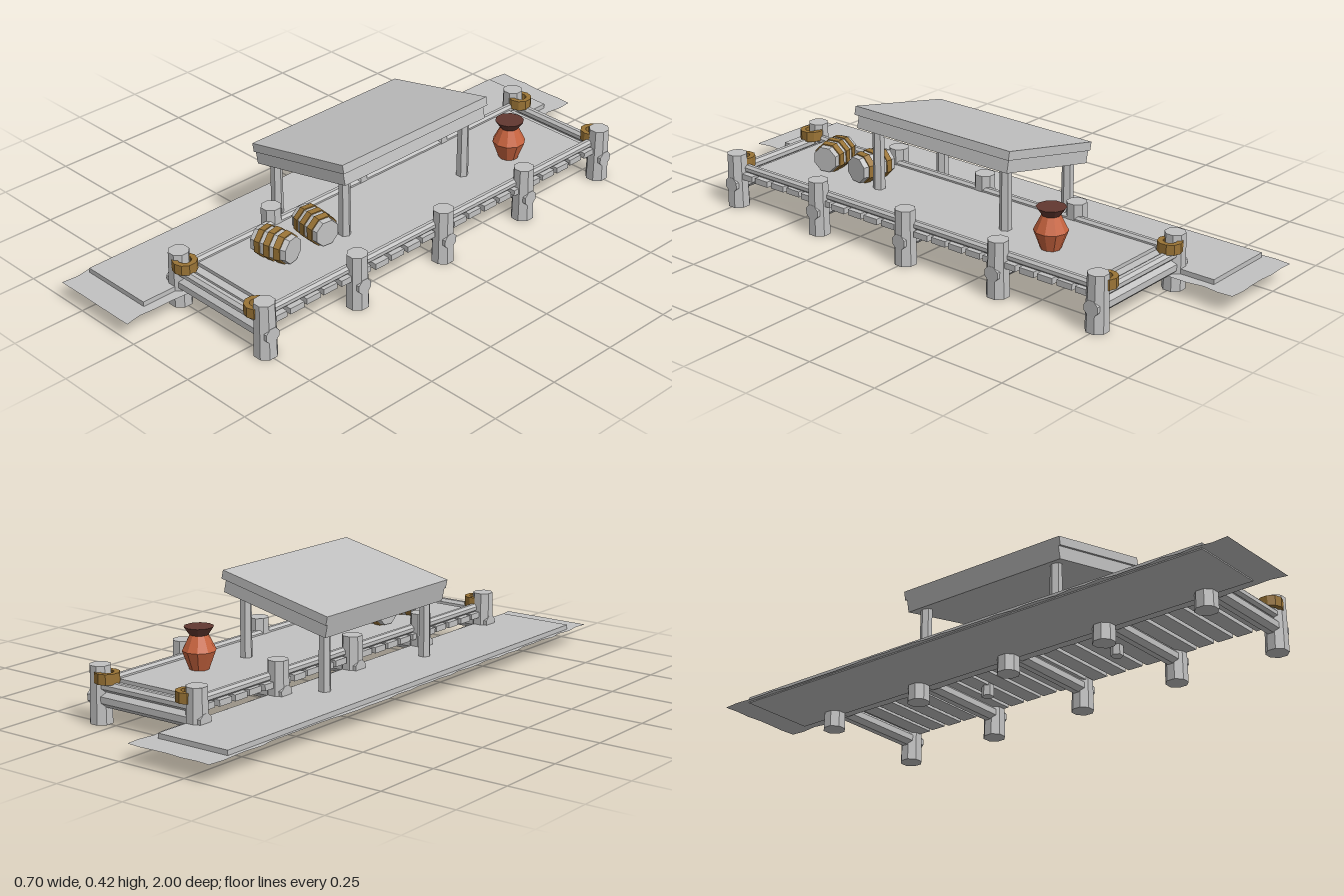
import * as THREE from 'three';

const mat = (name, color, extra = {}) => {
  const m = new THREE.MeshStandardMaterial({ color, flatShading: true, ...extra });
  m.name = name;
  return m;
};

export function createModel() {
  const model = new THREE.Group();
  const grey = mat('weathered grey', 0xc2c2c2);
  const greySheet = mat('ground grey', 0xc2c2c2, { side: THREE.DoubleSide });
  const brass = mat('rope brown', 0x9a7436);
  const clay = mat('terracotta', 0xc8643f);
  const darkClay = mat('dark terracotta', 0x623830);

  const add = (name, geo, material, x, y, z, parent = model) => {
    const m = new THREE.Mesh(geo, material);
    m.name = name;
    m.position.set(x, y, z);
    parent.add(m);
    return m;
  };
  const box = (name, w, h, d, x, y, z, parent) =>
    add(name, new THREE.BoxGeometry(w, h, d), grey, x, y, z, parent);
  // Upright cylinder given by its bottom and top heights
  const upright = (name, rTop, rBottom, y0, y1, sides, x, z) =>
    add(name, new THREE.CylinderGeometry(rTop, rBottom, y1 - y0, sides).rotateY(Math.PI / sides),
      grey, x, (y0 + y1) / 2, z);
  const logX = (name, r, length, x, y, z) =>
    add(name, new THREE.CylinderGeometry(r, r, length, 8).rotateY(Math.PI / 8).rotateZ(Math.PI / 2), grey, x, y, z);
  let seed = 7;
  const rand = () => (seed = (seed * 16807) % 2147483647) / 2147483647 - 0.5;

  const left = 0.31, right = -0.08, mid = (left + right) / 2;

  // Pier posts and cross logs
  for (const z of [-0.75, -0.375, 0, 0.375, 0.75]) {
    for (const x of [left, right]) upright('pierPost', 0.034, 0.038, 0, 0.185, 8, x, z);
    logX('crossLog', 0.027, left - right + 0.068, mid, 0.08, z);
  }

  // Planks with uneven ends, and the deck laid on them
  for (let i = -10; i <= 10; i++) {
    box('plank', 0.405 + rand() * 0.012, 0.02, 0.056, mid + rand() * 0.006, 0.11, i * 0.07);
  }
  box('deck', 0.35, 0.012, 1.4, mid, 0.126, 0);

  // Rails round the deck
  for (const s of [-1, 1]) {
    const rail = new THREE.CylinderGeometry(0.015, 0.015, 1.48, 8).rotateY(Math.PI / 8).rotateX(Math.PI / 2);
    add('sideRail', rail, grey, mid + s * 0.178, 0.132, 0);
    logX('endRail', 0.017, 0.37, mid, 0.121, s * 0.757);
  }

  // Rope coils on the corner posts
  const ropeProfile = [[0.022, -0.017], [0.04, -0.017], [0.04, 0.017], [0.022, 0.017], [0.022, -0.017]]
    .map(p => new THREE.Vector2(...p));
  for (const z of [-0.753, 0.753]) {
    for (const s of [-1, 1]) {
      add('ropeCoil', new THREE.LatheGeometry(ropeProfile, 10), brass, mid + s * 0.164, 0.15, z);
    }
  }

  // Bank: raised slab on a thin ragged sheet
  box('bankSlab', 0.265, 0.02, 1.81, -0.198, 0.065, 0);
  const edge = [];
  const ragged = (x0, z0, x1, z1, n) => {
    for (let i = 0; i < n; i++) {
      const t = i / n, along = x0 === x1;
      edge.push(new THREE.Vector2(
        x0 + (x1 - x0) * t + (along ? rand() * 0.012 : 0),
        Math.max(-1, Math.min(1, z0 + (z1 - z0) * t + (along ? 0 : rand() * 0.012)))));
    }
  };
  ragged(-0.345, -1, -0.03, -1, 6);
  ragged(-0.03, -1, -0.03, 1, 36);
  ragged(-0.03, 1, -0.345, 1, 6);
  ragged(-0.345, 1, -0.345, -1, 36);
  add('bankSheet', new THREE.ShapeGeometry(new THREE.Shape(edge)).rotateX(-Math.PI / 2), greySheet, 0, 0.059, 0);

  // Sloping shelter on four posts
  for (const z of [-0.265, 0.265]) {
    upright('shelterPostLow', 0.019, 0.021, 0.07, 0.272, 6, -0.175, z);
    upright('shelterPostHigh', 0.019, 0.021, 0.065, 0.328, 6, 0.14, z);
  }
  const roof = new THREE.Group();
  roof.name = 'roof';
  roof.position.set(-0.0165, 0.358, 0);
  roof.rotation.z = 0.21;
  model.add(roof);
  box('roofBoard', 0.424, 0.029, 0.636, 0, 0, 0, roof);
  box('roofFrame', 0.412, 0.043, 0.62, -0.006, -0.036, 0, roof);

  // Barrels lying on the deck, with three hoops each
  const bulge = x => 0.051 - 1.6 * x * x;
  const barrel = (x, z, turn) => {
    const g = new THREE.Group();
    g.name = 'barrel';
    g.position.set(x, 0.177, z);
    g.rotation.y = turn;
    model.add(g);
    const lay = geo => geo.rotateY(Math.PI / 8).rotateZ(-Math.PI / 2);
    const pts = [new THREE.Vector2(0, -0.066)];
    for (const t of [-0.066, -0.035, 0, 0.035, 0.066]) pts.push(new THREE.Vector2(bulge(t), t));
    pts.push(new THREE.Vector2(0, 0.066));
    add('barrelBody', lay(new THREE.LatheGeometry(pts, 8)), grey, 0, 0, 0, g);
    for (const t of [-0.037, 0, 0.037]) {
      const hoop = [[-0.011, 0], [-0.011, 0.004], [0.011, 0.004], [0.011, 0]]
        .map(([d, o]) => new THREE.Vector2(bulge(t + d) + o, t + d));
      add('barrelHoop', lay(new THREE.LatheGeometry(hoop, 8)), brass, 0, 0, 0, g);
    }
  };
  barrel(0.09, 0.508, 0.21);
  barrel(0.09, 0.345, -0.12);

  // Clay jar with a dark flared neck
  const lathe = (name, pts, material) =>
    add(name, new THREE.LatheGeometry(pts.map(p => new THREE.Vector2(...p)), 10), material, 0.164, 0, -0.462);
  lathe('jarBody', [[0, 0.131], [0.032, 0.131], [0.055, 0.192], [0.03, 0.242]], clay);
  lathe('jarNeck', [[0.03, 0.242], [0.048, 0.268], [0, 0.268]], darkClay);

  return model;
}
